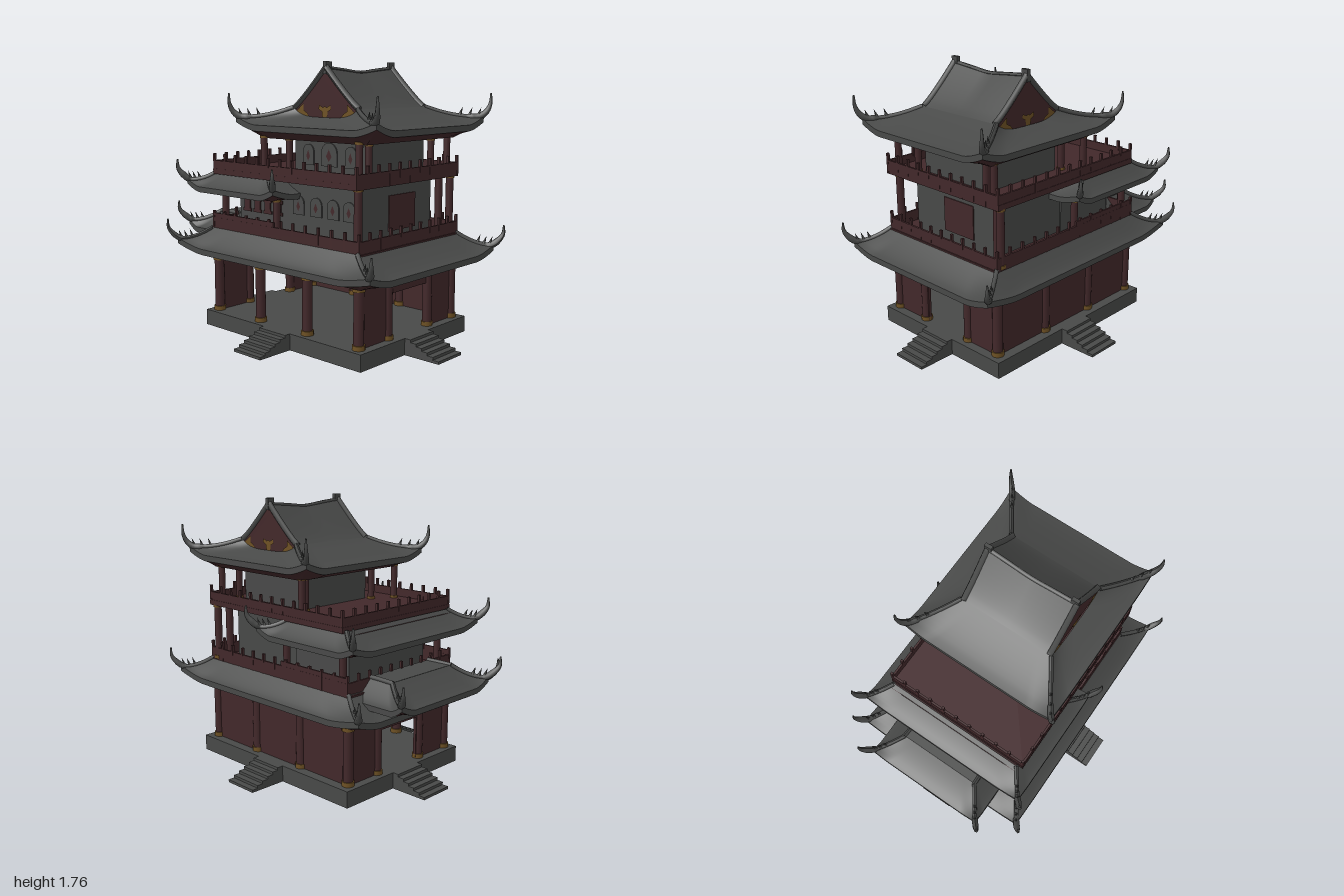
import * as THREE from 'three';

const mat = (name, color) => {
  const m = new THREE.MeshStandardMaterial({ color, side: THREE.DoubleSide });
  m.name = name;
  return m;
};

export function createModel() {
  const root = new THREE.Group();
  root.name = 'pagoda';
  const grey = mat('stone grey', 0x484948);
  const red = mat('dark red', 0x42282a);
  const gold = mat('old gold', 0x6e5124);

  const add = (name, geo, m) => {
    const mesh = new THREE.Mesh(geo, m);
    mesh.name = name;
    root.add(mesh);
    return mesh;
  };
  // Box given by its limits on each axis
  const box = (name, m, x0, x1, y0, y1, z0, z1) =>
    add(name, new THREE.BoxGeometry(x1 - x0, y1 - y0, z1 - z0), m)
      .position.set((x0 + x1) / 2, (y0 + y1) / 2, (z0 + z1) / 2);
  // Curved sheet from a rule p(u, v), both 0..1
  const sheet = (name, m, nu, nv, p) => {
    const pos = [], idx = [];
    for (let i = 0; i <= nu; i++) for (let j = 0; j <= nv; j++) {
      pos.push(...p(i / nu, j / nv));
      if (i < nu && j < nv) {
        const a = i * (nv + 1) + j, b = a + nv + 1;
        idx.push(a, b, a + 1, b, b + 1, a + 1);
      }
    }
    const g = new THREE.BufferGeometry();
    g.setAttribute('position', new THREE.Float32BufferAttribute(pos, 3));
    g.setIndex(idx);
    g.computeVertexNormals();
    return add(name, g, m);
  };
  // Tube whose radius follows r(t)
  const taper = (name, pts, r, n = 20) => {
    const curve = new THREE.CatmullRomCurve3(pts.map(p => new THREE.Vector3(...p)));
    const g = new THREE.TubeGeometry(curve, n, 1, 6);
    const pos = g.attributes.position, v = new THREE.Vector3();
    for (let i = 0; i < pos.count; i++) {
      const t = Math.floor(i / 7) / n, c = curve.getPointAt(t);
      v.fromBufferAttribute(pos, i).sub(c).multiplyScalar(r(t)).add(c);
      pos.setXYZ(i, v.x, v.y, v.z);
    }
    g.computeVertexNormals();
    add(name, g, grey);
  };
  const column = (x, z, y0, y1, r) => {
    const cyl = (n, m, rr, a, b) =>
      add(n, new THREE.CylinderGeometry(rr, rr, b - a, 16), m).position.set(x, (a + b) / 2, z);
    cyl('column', red, r, y0, y1);
    cyl('columnBase', gold, r * 1.22, y0, y0 + r * 0.9);
    cyl('columnCap', gold, r * 1.22, y1 - r * 0.7, y1);
  };

  // Four-sided curved eave with hip ridges, upturned horns and a red soffit
  const eaves = (name, o) => {
    const { x, z, inn, out, yT, yE, lift, drop, soff, dip = 0, tip = 0.13, reach = 0.045, corners = [-1, 1] } = o;
    const curl = u => Math.max(0, (Math.abs(u) - 0.7) / 0.3) ** 1.5;
    const at = (alongX, s, u, t) => {
      const k = 1 - t, c = curl(u);
      const hx = inn[0] * k + out[0] * t, hz = inn[1] * k + out[1] * t;
      const top = yT - (alongX ? dip * (1 - u ** 4) : 0);
      const y = yE + (top - yE) * k ** 1.3 + lift * c * t * t;
      return alongX ? [x + u * hx, y, z + s * hz] : [x + s * hx, y, z + u * hz];
    };
    for (const alongX of [true, false]) for (const s of [-1, 1]) {
      sheet(name + 'Tiles', grey, 40, 8, (a, t) => at(alongX, s, 2 * a - 1, t));
      sheet(name + 'Fascia', grey, 40, 1, (a, v) => {
        const p = at(alongX, s, 2 * a - 1, 1);
        p[1] -= v * drop;
        return p;
      });
      sheet(name + 'Soffit', red, 40, 4, (a, v) => {
        const u = 2 * a - 1, p = at(alongX, s, u, 1);
        const q = alongX ? [x + u * soff[0], 0, z + s * soff[1]] : [x + s * soff[0], 0, z + u * soff[1]];
        return [p[0] + (q[0] - p[0]) * v, (p[1] - drop) * (1 - v) + soff[2] * v, p[2] + (q[2] - p[2]) * v];
      });
    }
    for (const sx of corners) for (const sz of [-1, 1]) {
      const hip = [0, 0.25, 0.5, 0.75, 0.92].map(t => at(true, sz, sx, t));
      const [cx, cy, cz] = at(true, sz, sx, 1);
      const horn = [[0.4, 0.2], [0.95, 0.55], [1, 1]]
        .map(([d, h]) => [cx + sx * d * reach, cy + h * tip, cz + sz * d * reach]);
      taper(name + 'Horn', [...hip, ...horn], t => t < 0.55 ? 0.015 : 0.005 + 0.017 * Math.min(1, (1 - t) / 0.3), 30);
      // small spikes riding on the hip
      for (const t of [0.62, 0.78, 0.93]) {
        const p = at(true, sz, sx, t);
        const spike = add(name + 'Spike', new THREE.ConeGeometry(0.012, 0.055, 6), grey);
        spike.position.set(p[0], p[1] + 0.032, p[2]);
        spike.rotation.set(sz * 0.25, 0, -sx * 0.25);
      }
    }
  };

  // Balustrade around a rectangle: solid band and posts
  const railing = (x0, x1, z0, z1, y0, y1, top) => {
    const w = 0.014;
    for (const z of [z0, z1]) box('balustrade', red, x0, x1, y0, y1, z - w / 2, z + w / 2);
    for (const x of [x0, x1]) box('balustrade', red, x - w / 2, x + w / 2, y0, y1, z0, z1);
    const post = (x, z) => box('railPost', red, x - 0.008, x + 0.008, y0, top, z - 0.008, z + 0.008);
    const nx = Math.round((x1 - x0) / 0.105), nz = Math.round((z1 - z0) / 0.1);
    for (let i = 0; i <= nx; i++) for (const z of [z0, z1]) post(x0 + (x1 - x0) * i / nx, z);
    for (let i = 1; i < nz; i++) for (const x of [x0, x1]) post(x, z0 + (z1 - z0) * i / nz);
  };

  // Thin arched window plate with a red diamond
  const arch = (x, y, w, h, z) => {
    const s = new THREE.Shape();
    s.moveTo(-w / 2, 0); s.lineTo(w / 2, 0); s.lineTo(w / 2, h - w / 2);
    s.absarc(0, h - w / 2, w / 2, 0, Math.PI, false);
    s.lineTo(-w / 2, 0);
    const d = new THREE.Shape([[0, 0.2], [0.18, 0.42], [0, 0.72], [-0.18, 0.42]].map(p => new THREE.Vector2(p[0] * w, p[1] * h)));
    add('archedWindow', new THREE.ExtrudeGeometry(s, { depth: 0.008, bevelEnabled: false }), grey).position.set(x, y, z);
    add('windowOrnament', new THREE.ShapeGeometry(d), red).position.set(x, y, z + 0.0095);
  };

  // Stone platform and four stairs
  box('platform', grey, -0.63, 0.75, 0, 0.105, -0.53, 0.53);
  const profile = new THREE.Shape();
  profile.moveTo(0, 0);
  for (let i = 0; i < 6; i++) {
    profile.lineTo(i * 0.0417, 0.105 - i * 0.0175);
    profile.lineTo((i + 1) * 0.0417, 0.105 - i * 0.0175);
  }
  profile.lineTo(0.25, 0);
  for (const [x, z, turn] of [[0.75, 0, 0], [0.058, -0.53, 1], [-0.63, 0, 2], [0.058, 0.53, 3]]) {
    const stair = add('stair', new THREE.ExtrudeGeometry(profile, { depth: 0.236, bevelEnabled: false }).translate(0, 0, -0.118), grey);
    stair.position.set(x, 0, z);
    stair.rotation.y = turn * Math.PI / 2;
  }

  // Ground floor: open front, solid back, end walls with doorways
  for (const x of [-0.565, -0.155, 0.265, 0.68]) for (const z of [-0.455, 0.465]) column(x, z, 0.105, 0.475, 0.032);
  box('backWall', red, -0.565, 0.68, 0.105, 0.475, -0.465, -0.445);
  for (const x of [-0.565, 0.68]) {
    for (const z of [-0.2, 0.2]) column(x, z, 0.105, 0.475, 0.03);
    box('endWall', red, x - 0.01, x + 0.01, 0.105, 0.475, 0.165, 0.465);
    box('endWall', red, x - 0.01, x + 0.01, 0.105, 0.475, -0.455, -0.175);
    box('doorLintel', red, x - 0.01, x + 0.01, 0.385, 0.475, -0.175, 0.165);
  }
  eaves('lowerRoof', { x: 0.058, z: 0.015, inn: [0.64, 0.485], out: [0.848, 0.622], yT: 0.675, yE: 0.55, lift: 0.045, drop: 0.038, soff: [0.68, 0.5, 0.475] });
  box('secondDeck', red, -0.6, 0.715, 0.472, 0.672, -0.475, 0.5);

  // Second storey: main hall and side wing
  railing(-0.575, 0.7, -0.475, 0.49, 0.66, 0.745, 0.79);
  for (const z of [-0.475, 0.49]) box('wingBalustrade', red, -0.575, 0, 0.745, 0.775, z - 0.006, z + 0.006);
  box('mainHall', grey, 0, 0.59, 0.67, 1.045, -0.34, 0.355);
  box('wingHall', grey, -0.47, 0, 0.67, 0.93, -0.35, 0.35);
  for (const x of [0.09, 0.24, 0.38, 0.51]) arch(x, 0.82, 0.095, 0.12, 0.355);
  box('hallDoor', red, 0.585, 0.597, 0.74, 0.96, -0.17, 0.09);
  for (let i = 0; i < 4; i++) {
    const x = -0.395 + i * 0.098;
    box('latticeTop', red, x - 0.038, x + 0.038, 0.865, 0.89, 0.35, 0.358);
    box('lattice', red, x - 0.027, x + 0.027, 0.81, 0.865, 0.35, 0.358);
    box('latticeFoot', red, x - 0.038, x + 0.038, 0.79, 0.81, 0.35, 0.358);
  }
  column(0.655, 0.447, 0.67, 1.045, 0.025);
  column(0.655, -0.46, 0.67, 1.045, 0.025);
  column(0.615, -0.395, 0.67, 1.045, 0.025);
  for (const s of [-1, 1]) for (const x of [-0.51, -0.02]) column(x, s * 0.445, 0.67, 0.915, 0.023);
  eaves('wingRoof', { x: -0.31, z: 0.005, inn: [0.25, 0.47], out: [0.412, 0.59], yT: 1.05, yE: 0.955, lift: 0.045, drop: 0.035, soff: [0.29, 0.48, 0.905] });
  box('wingCeiling', red, -0.59, -0.03, 0.903, 1.03, -0.465, 0.475);

  // Low porch roof at the wing's end
  eaves('porchRoof', { x: -0.66, z: 0, inn: [0.09, 0.28], out: [0.282, 0.418], yT: 0.745, yE: 0.63, lift: 0.05, drop: 0.035, reach: 0.05, soff: [0.15, 0.3, 0.56], corners: [-1] });
  box('porchTop', grey, -0.75, -0.57, 0.725, 0.746, -0.28, 0.28);
  for (const s of [-1, 1]) taper('porchRidge', [[-0.755, 0.745, s * 0.282], [-0.66, 0.747, s * 0.278], [-0.57, 0.747, s * 0.275]], () => 0.015);

  // Third storey: terrace deck and hall
  box('terraceDeck', red, -0.55, 0.7, 1.04, 1.075, -0.49, 0.515);
  railing(-0.54, 0.693, -0.48, 0.507, 1.04, 1.13, 1.175);
  box('upperHall', grey, -0.01, 0.57, 1.07, 1.36, -0.285, 0.285);
  arch(0.11, 1.13, 0.09, 0.13, 0.285);
  arch(0.285, 1.13, 0.13, 0.145, 0.285);
  arch(0.46, 1.13, 0.09, 0.13, 0.285);
  for (const x of [-0.13, 0.658]) for (const z of [-0.415, 0.443]) column(x, z, 1.07, 1.31, 0.022);
  for (const x of [-0.045, 0.612]) for (const z of [-0.305, 0.305]) column(x, z, 1.07, 1.29, 0.022);

  // Top roof: eaves below a curved gable
  const cx = 0.28, half = 0.265, foot = 1.485;
  eaves('topRoof', { x: cx, z: 0, inn: [half, 0.325], out: [0.575, 0.53], yT: foot, yE: 1.378, lift: 0.05, drop: 0.038, dip: 0.055, tip: 0.145, reach: 0.03, soff: [0.42, 0.43, 1.292] });
  box('topCeiling', red, cx - 0.42, cx + 0.42, 1.292, 1.34, -0.43, 0.43);
  const rise = d => foot + 0.22 * (1 - d / half) ** 1.15;
  const sag = z => 0.03 * Math.abs(z) / 0.33;
  for (const s of [-1, 1]) {
    sheet('gableRoof', grey, 10, 12, (u, v) => {
      const z = (v - 0.5) * 0.65;
      return [cx + s * half * u, rise(half * u) + sag(z) * (1 - u), z];
    });
    const edge = [];
    for (let i = 0; i <= 8; i++) edge.push([cx + s * half * i / 8, rise(half * i / 8) + 0.025 * (1 - i / 8)]);
    for (const f of [-1, 1]) taper('bargeboard', edge.map(p => [p[0], p[1], f * 0.312]), () => 0.019);

    // Gable wall with gilded ornaments
    const tri = new THREE.Shape();
    tri.moveTo(-0.255, 1.42);
    for (let i = -8; i <= 8; i++) tri.lineTo(0.255 * i / 8, rise(Math.abs(0.255 * i / 8)));
    tri.lineTo(0.255, 1.42);
    add('gableWall', new THREE.ShapeGeometry(tri), red).position.set(cx, 0, s * 0.318);
    const orn = [
      [[0, 1.42], [0.02, 1.435], [0.024, 1.465], [0.052, 1.48], [0.045, 1.505], [0.015, 1.49], [0, 1.498],
        [-0.015, 1.49], [-0.045, 1.505], [-0.052, 1.48], [-0.024, 1.465], [-0.02, 1.435]],
      [[0.13, 1.432], [0.24, 1.432], [0.24, 1.465], [0.18, 1.51], [0.178, 1.47], [0.15, 1.455]],
      [[-0.13, 1.432], [-0.24, 1.432], [-0.24, 1.465], [-0.18, 1.51], [-0.178, 1.47], [-0.15, 1.455]],
    ];
    for (const o of orn)
      add('gableOrnament', new THREE.ShapeGeometry(new THREE.Shape(o.map(p => new THREE.Vector2(...p)))), gold)
        .position.set(cx, 0, s * 0.325);
    box('ridgeFinial', grey, cx - 0.012, cx + 0.012, 1.69, 1.765, s > 0 ? 0.275 : -0.33, s > 0 ? 0.325 : -0.28);
  }
  taper('mainRidge', [-0.32, -0.16, 0, 0.16, 0.32].map(z => [cx, 1.698 + sag(z), z]), () => 0.014);
  return root;
}
